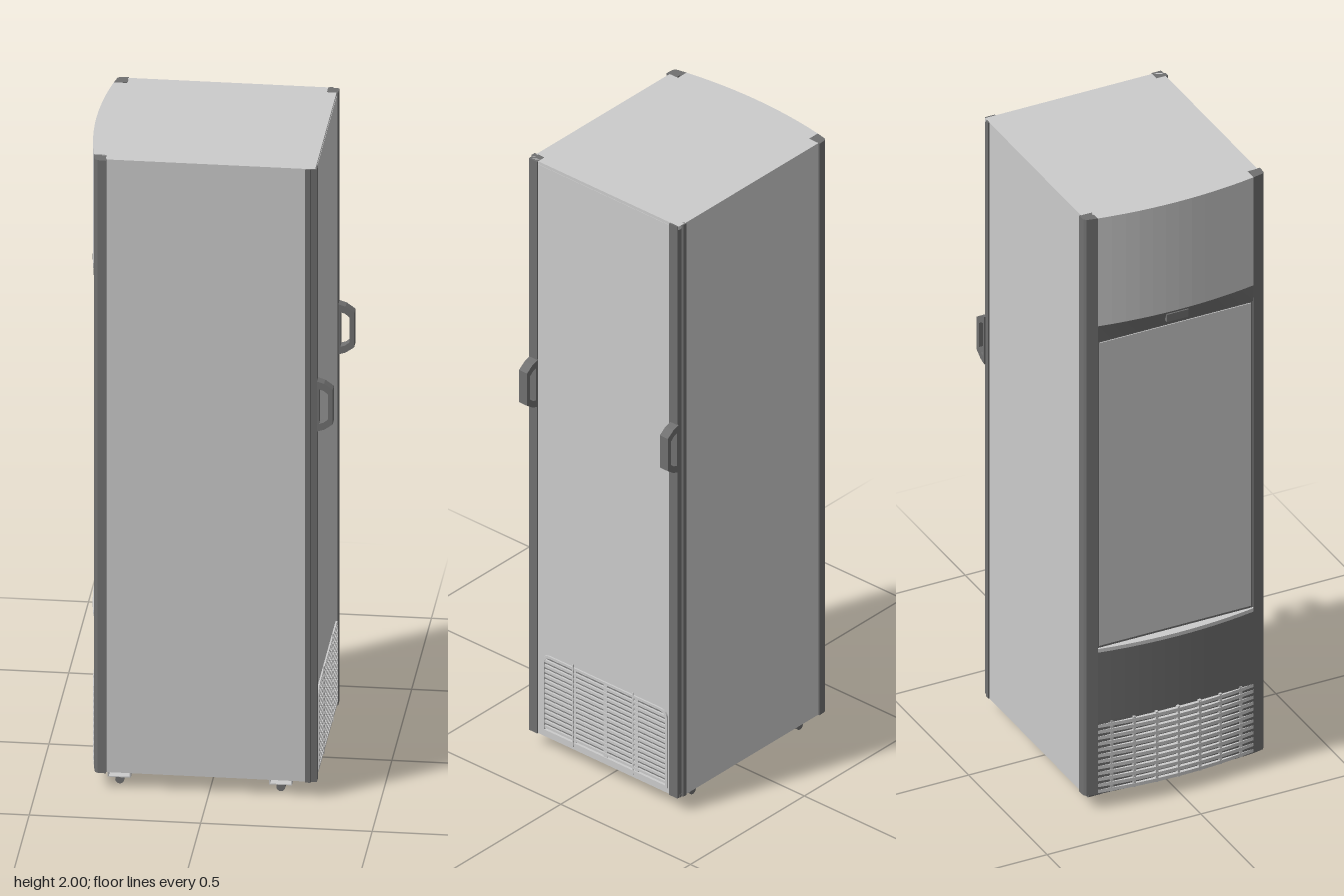
import * as THREE from 'three';

export function createModel() {
  const root = new THREE.Group();
  root.name = 'displayCooler';
  const light = new THREE.MeshStandardMaterial({ color: 0xcccccc, side: THREE.DoubleSide });
  const dark = new THREE.MeshStandardMaterial({ color: 0x707070, side: THREE.DoubleSide });

  const add = (name, geo, mat = light) => {
    const m = new THREE.Mesh(geo, mat);
    m.name = name;
    root.add(m);
    return m;
  };
  // Box given by its lower and upper corners
  const box = (name, x0, x1, y0, y1, z0, z1, mat) => {
    const m = add(name, new THREE.BoxGeometry(x1 - x0, y1 - y0, z1 - z0), mat);
    m.position.set((x0 + x1) / 2, (y0 + y1) / 2, (z0 + z1) / 2);
    return m;
  };
  const shapeOf = pts => new THREE.Shape(pts.map(p => new THREE.Vector2(...p)));
  // Plan outline [x, z] raised from y0 to y1
  const upright = (pts, y0, y1) =>
    new THREE.ExtrudeGeometry(shapeOf(pts.map(([x, z]) => [x, -z])), { depth: y1 - y0, bevelEnabled: false })
      .rotateX(-Math.PI / 2).translate(0, y0, 0);

  // Bowed door line; k scales the bow, out pushes it forward
  const HALF = 0.253;
  const bow = (z, k = 1, out = 0) => -0.34 - out - 0.022 * k * (1 - (z / HALF) ** 2);
  const bowed = (name, y0, y1, back, mat, k = 1, out = 0, half = HALF) => {
    const pts = [[back, half], [back, -half]];
    for (let i = 0; i <= 12; i++) {
      const z = -half + (2 * half * i) / 12;
      pts.push([bow(z, k, out), z]);
    }
    return add(name, upright(pts, y0, y1), mat);
  };

  // Cabinet shell, hollow around the machine compartment
  for (const s of [-1, 1]) {
    const z = s * 0.282 - 0.002;
    box('sidePanel', -0.302, 0.285, 0.05, 2, z - 0.005, z + 0.005);
  }
  box('topPanel', -0.302, 0.309, 1.988, 2, -0.288, 0.284);
  box('basePanel', -0.302, 0.305, 0.05, 0.06, -0.288, 0.284, dark);
  box('compartmentDeck', -0.302, 0.3, 0.37, 0.38, -0.279, 0.275);

  // Rear panel with the ventilation opening
  const rounded = (w0, w1, y0, y1, r, Kind = THREE.Shape) => {
    const p = new Kind();
    p.moveTo(w0, y0).lineTo(w1, y0).lineTo(w1, y1 - r);
    p.quadraticCurveTo(w1, y1, w1 - r, y1).lineTo(w0 + r, y1);
    p.quadraticCurveTo(w0, y1, w0, y1 - r).lineTo(w0, y0);
    return p;
  };
  // Shape drawn in [-z, y] and thickened along +x
  const facing = (shape, x, depth) =>
    new THREE.ExtrudeGeometry(shape, { depth, bevelEnabled: false, curveSegments: 6 })
      .rotateY(Math.PI / 2).translate(x, 0, 0);
  const rear = shapeOf([[-0.262, 0.05], [0.262, 0.05], [0.262, 1.99], [-0.262, 1.99]]);
  rear.holes.push(rounded(-0.228, 0.24, 0.075, 0.325, 0.025, THREE.Path));
  add('rearPanel', facing(rear, 0.301, 0.009));

  // Rear grille: rim, horizontal bars, ribs and two long wires
  const rim = rounded(-0.235, 0.247, 0.068, 0.332, 0.03);
  rim.holes.push(rounded(-0.227, 0.239, 0.076, 0.324, 0.024, THREE.Path));
  add('rearGrilleRim', facing(rim, 0.309, 0.006));
  for (let i = 0; i < 14; i++) {
    const y = 0.086 + i * 0.0172;
    box('rearGrilleBar', 0.308, 0.314, y - 0.004, y + 0.004, -0.24, 0.228);
  }
  for (const z of [-0.126, -0.006, 0.114])
    box('rearGrilleRib', 0.306, 0.312, 0.076, 0.324, z - 0.007, z + 0.007);
  for (const z of [-0.116, 0.116])
    box('rearGrilleWire', 0.312, 0.316, 0.062, 0.343, z - 0.002, z + 0.002);

  // Corner trims and grab handles, mirrored left and right
  const frontTrim = [[-0.3, 0.2945], [-0.325, 0.293], [-0.333, 0.287], [-0.34, 0.253],
    [-0.316, 0.253], [-0.316, 0.258], [-0.3, 0.258]];
  const rearTrim = [[0.281, 0.2925], [0.295, 0.2925], [0.297, 0.288], [0.314, 0.286],
    [0.314, 0.255], [0.281, 0.255]];
  const grip = shapeOf([[0.312, 1.165], [0.335, 1.172], [0.36, 1.19], [0.36, 1.3],
    [0.335, 1.318], [0.312, 1.325]]);
  grip.holes.push(new THREE.Path([[0.32, 1.19], [0.32, 1.3], [0.333, 1.296], [0.346, 1.285],
    [0.346, 1.205], [0.333, 1.194]].map(p => new THREE.Vector2(...p))));
  for (const s of [-1, 1]) {
    add('frontCornerTrim', upright(frontTrim.map(([x, z]) => [x, s * z]), 0.05, 2), dark);
    add('rearCornerTrim', upright(rearTrim.map(([x, z]) => [x, s * z]), 0.05, 2), dark);
    add('grabHandle', new THREE.ExtrudeGeometry(grip, { depth: 0.031, bevelEnabled: false }), dark)
      .position.z = s * 0.2715 - 0.0185;
  }

  // Door: header panel, sloping ledge, flat window, kick panel
  bowed('headerPanel', 1.635, 2, -0.302, light);
  const ledge = bowed('headerLedge', 1.58, 1.635, -0.31, dark, 1, 0.001);
  const lp = ledge.geometry.attributes.position;
  for (let i = 0; i < lp.count; i++)
    if (lp.getY(i) < 1.6) lp.setX(i, Math.max(lp.getX(i), -0.338));
  ledge.geometry.computeVertexNormals();
  box('latch', -0.364, -0.35, 1.603, 1.628, -0.04, 0.03, dark);
  box('doorFrame', -0.335, -0.31, 0.53, 1.59, -HALF, HALF, dark);
  box('window', -0.338, -0.33, 0.55, 1.575, -0.246, 0.246);
  bowed('kickPanelLip', 0.53, 0.542, -0.31, light, 1, 0.001);
  bowed('kickPanel', 0.295, 0.53, -0.31, dark, 0.75);

  // Front grille: recessed backing, bowed slats and upright ribs
  bowed('frontGrilleBacking', 0.05, 0.295, -0.31, dark, 0.5);
  for (let i = 0; i < 12; i++) {
    const y = 0.054 + i * 0.02;
    bowed('frontGrilleSlat', y, y + 0.011, -0.33, light, 1);
  }
  for (let i = -3; i <= 3; i++) {
    const z = i * 0.07, x = bow(z);
    box('frontGrilleRib', x + 0.001, x + 0.012, 0.052, 0.29, z - 0.004, z + 0.004);
  }

  // Underside channels carrying the rollers
  for (const x of [-0.265, 0.205]) {
    box('channelFloor', x - 0.033, x + 0.033, 0.025, 0.028, -0.262, 0.262);
    for (const s of [-1, 1]) {
      box('channelWall', x + s * 0.032 - 0.0015, x + s * 0.032 + 0.0015, 0.025, 0.05, -0.262, 0.262);
      const roller = add('roller', new THREE.CylinderGeometry(0.013, 0.013, 0.045, 16).rotateX(Math.PI / 2), dark);
      roller.position.set(x, 0.013, s * 0.228);
    }
  }
  return root;
}
